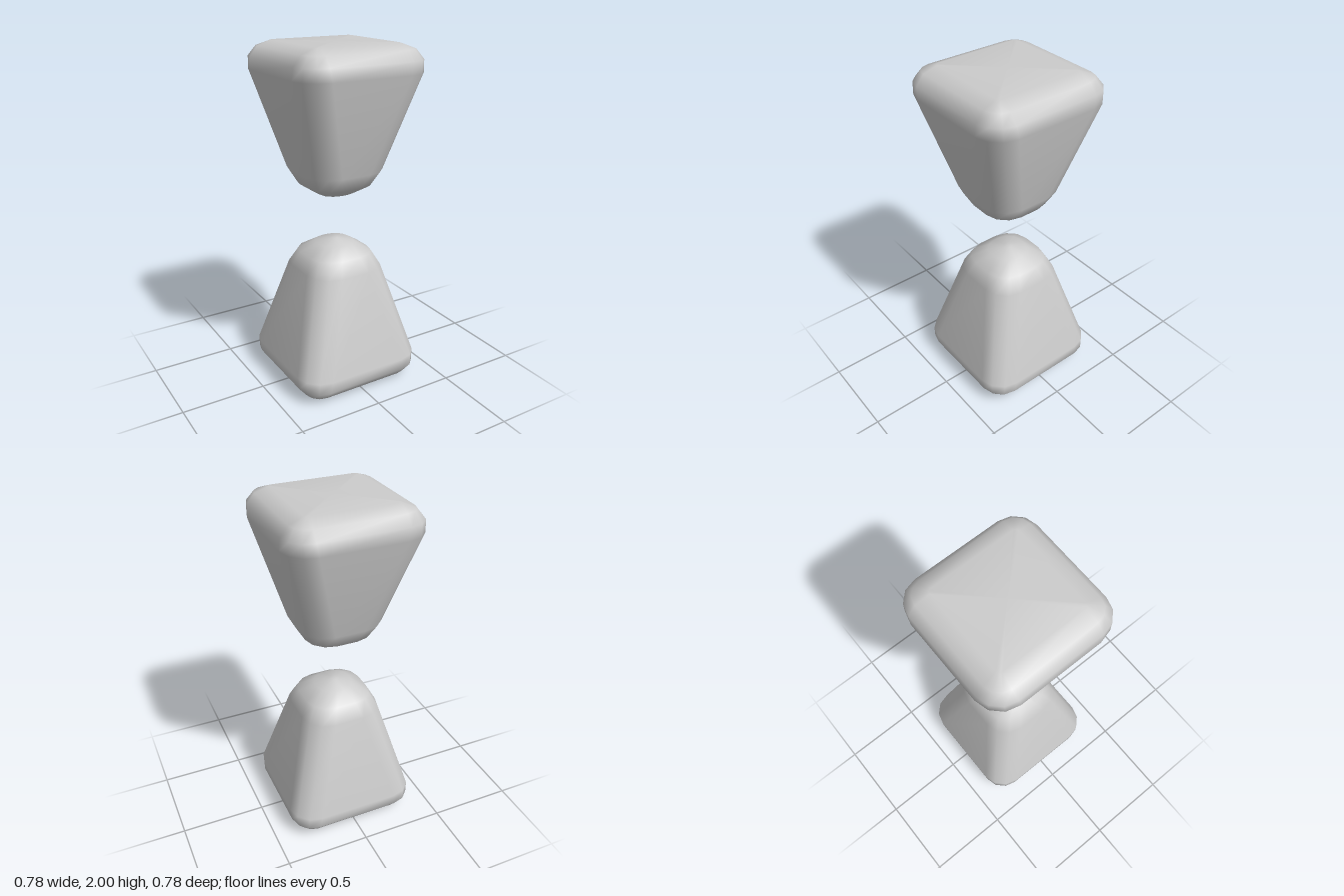
import * as THREE from 'three';

// Cross-sections from base to tip: [height, half width, corner radius]
const SECTIONS = [
  [0, 0.26, 0.02],
  [0.03, 0.34, 0.09],
  [0.085, 0.385, 0.135],
  [0.155, 0.39, 0.15],
  [0.705, 0.24, 0.15],
  [0.79, 0.195, 0.135],
  [0.845, 0.11, 0.09],
  [0.865, 0.022, 0.02],
];
const CORNER_STEPS = 3;

// Rounded, tapered block lofted through rounded-square rings
function taperedBlock() {
  const positions = [];
  const index = [];
  const n = 4 * (CORNER_STEPS + 1);

  for (const [y, half, radius] of SECTIONS) {
    for (let corner = 0; corner < 4; corner++) {
      const mid = (corner + 0.5) * Math.PI / 2;
      const cx = Math.sign(Math.cos(mid)) * (half - radius);
      const cz = Math.sign(Math.sin(mid)) * (half - radius);
      for (let s = 0; s <= CORNER_STEPS; s++) {
        const a = (corner + s / CORNER_STEPS) * Math.PI / 2;
        positions.push(cx + radius * Math.cos(a), y, cz + radius * Math.sin(a));
      }
    }
  }

  // Sides
  const last = SECTIONS.length - 1;
  for (let r = 0; r < last; r++) {
    for (let j = 0; j < n; j++) {
      const a = r * n + j;
      const b = r * n + (j + 1) % n;
      index.push(a, a + n, b, b, a + n, b + n);
    }
  }

  // End caps
  const base = positions.length / 3;
  positions.push(0, 0, 0, 0, SECTIONS[last][0], 0);
  for (let j = 0; j < n; j++) {
    const k = (j + 1) % n;
    index.push(base, j, k, base + 1, last * n + k, last * n + j);
  }

  const geometry = new THREE.BufferGeometry();
  geometry.setAttribute('position', new THREE.Float32BufferAttribute(positions, 3));
  geometry.setIndex(index);
  geometry.computeVertexNormals();
  return geometry;
}

export function createModel() {
  const model = new THREE.Group();
  const geometry = taperedBlock();
  const material = new THREE.MeshStandardMaterial({ color: 0xcccccc });

  const lower = new THREE.Mesh(geometry, material);
  lower.name = 'lowerBlock';

  // The same block turned over, tip facing the lower one
  const upper = new THREE.Mesh(geometry, material);
  upper.name = 'upperBlock';
  upper.rotation.x = Math.PI;
  upper.position.y = 2;

  model.add(lower, upper);
  return model;
}
